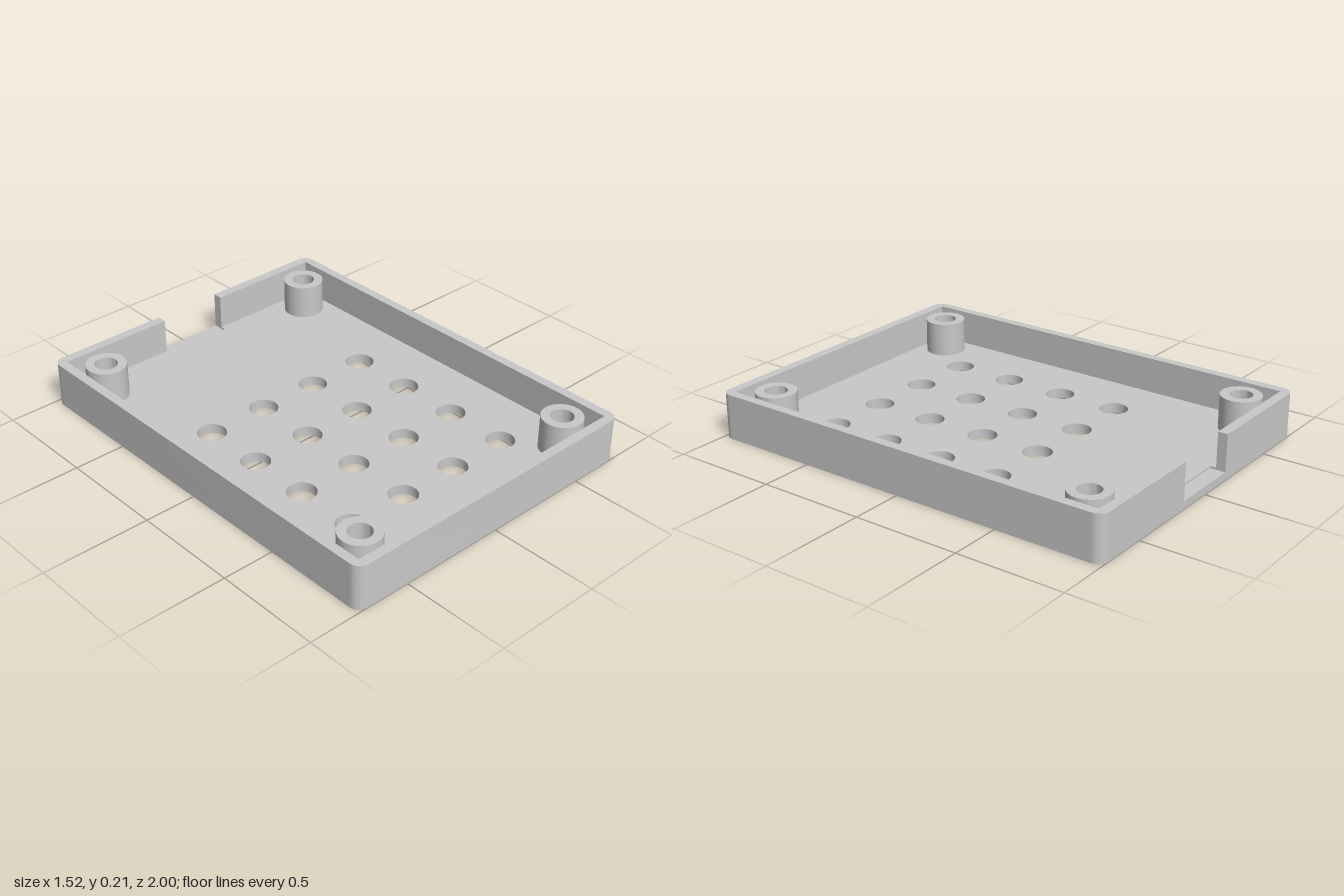
import * as THREE from 'three';
import { toCreasedNormals } from 'three/addons/utils/BufferGeometryUtils.js';

const W = 0.76, L = 1, R = 0.05;          // outer half sizes and corner radius
const IW = 0.717, IL = 0.955;             // inner half sizes
const NW = 0.167, ND = 0.928;             // notch half width and its inner edge
const NOTCH_Y = 0.037, FLOOR_Y = 0.046, POST_Y = 0.206, TOP_Y = 0.21;

// Plans are drawn with the back of the tray at +y, then laid flat.
function slab(shape, y0, y1) {
  const geo = new THREE.ExtrudeGeometry(shape, { depth: y1 - y0, bevelEnabled: false, curveSegments: 16 });
  geo.rotateX(-Math.PI / 2).translate(0, y0, 0);
  return toCreasedNormals(geo, 0.6);
}

// Counter-clockwise, so that hole walls face into the hole
function circle(path, x, z, r) {
  path.absarc(x, -z, r, 0, Math.PI * 2, false);
  return path;
}

// Rounded outline running from the right of the notch clockwise to its left
function outline(shape) {
  shape.moveTo(NW, L);
  shape.lineTo(W - R, L);
  shape.absarc(W - R, L - R, R, Math.PI / 2, 0, true);
  shape.absarc(W - R, -L + R, R, 0, -Math.PI / 2, true);
  shape.absarc(-W + R, -L + R, R, -Math.PI / 2, -Math.PI, true);
  shape.absarc(-W + R, L - R, R, Math.PI, Math.PI / 2, true);
  shape.lineTo(-NW, L);
  return shape;
}

export function createModel() {
  const group = new THREE.Group();
  const grey = new THREE.MeshStandardMaterial({ color: 0xc8c8c8 });
  grey.name = 'grey plastic';
  const add = (name, geo) => {
    const mesh = new THREE.Mesh(geo, grey);
    mesh.name = name;
    group.add(mesh);
  };

  const posts = [];
  for (const x of [-0.592, 0.592]) for (const z of [-0.83, 0.83]) posts.push([x, z]);

  // Vent grid and screw holes that pass through the floor
  const drill = (shape) => {
    for (let i = 0; i < 4; i++) for (let j = 0; j < 4; j++) {
      shape.holes.push(circle(new THREE.Path(), -0.444 + i * 0.296, -0.267 + j * 0.296, 0.066));
    }
    for (const [x, z] of posts) shape.holes.push(circle(new THREE.Path(), x, z, 0.052));
    return shape;
  };

  // Floor: full base, then a thin layer cut back at the notch
  const base = outline(new THREE.Shape());
  base.closePath();
  add('floorBase', slab(drill(base), 0, NOTCH_Y));

  const upper = outline(new THREE.Shape());
  upper.lineTo(-NW, ND);
  upper.lineTo(NW, ND);
  upper.closePath();
  add('floorTop', slab(drill(upper), NOTCH_Y, FLOOR_Y));

  // Walls: one band with rounded outside, square inside, open at the notch
  const wall = outline(new THREE.Shape());
  for (const [x, y] of [[-NW, IL], [-IW, IL], [-IW, -IL], [IW, -IL], [IW, IL], [NW, IL]]) wall.lineTo(x, y);
  wall.closePath();
  add('walls', slab(wall, FLOOR_Y, TOP_Y));

  // Hollow screw posts
  for (const [x, z] of posts) {
    const ring = circle(new THREE.Shape(), x, z, 0.094);
    ring.holes.push(circle(new THREE.Path(), x, z, 0.052));
    add('screwPost', slab(ring, FLOOR_Y, POST_Y));
  }
  return group;
}
